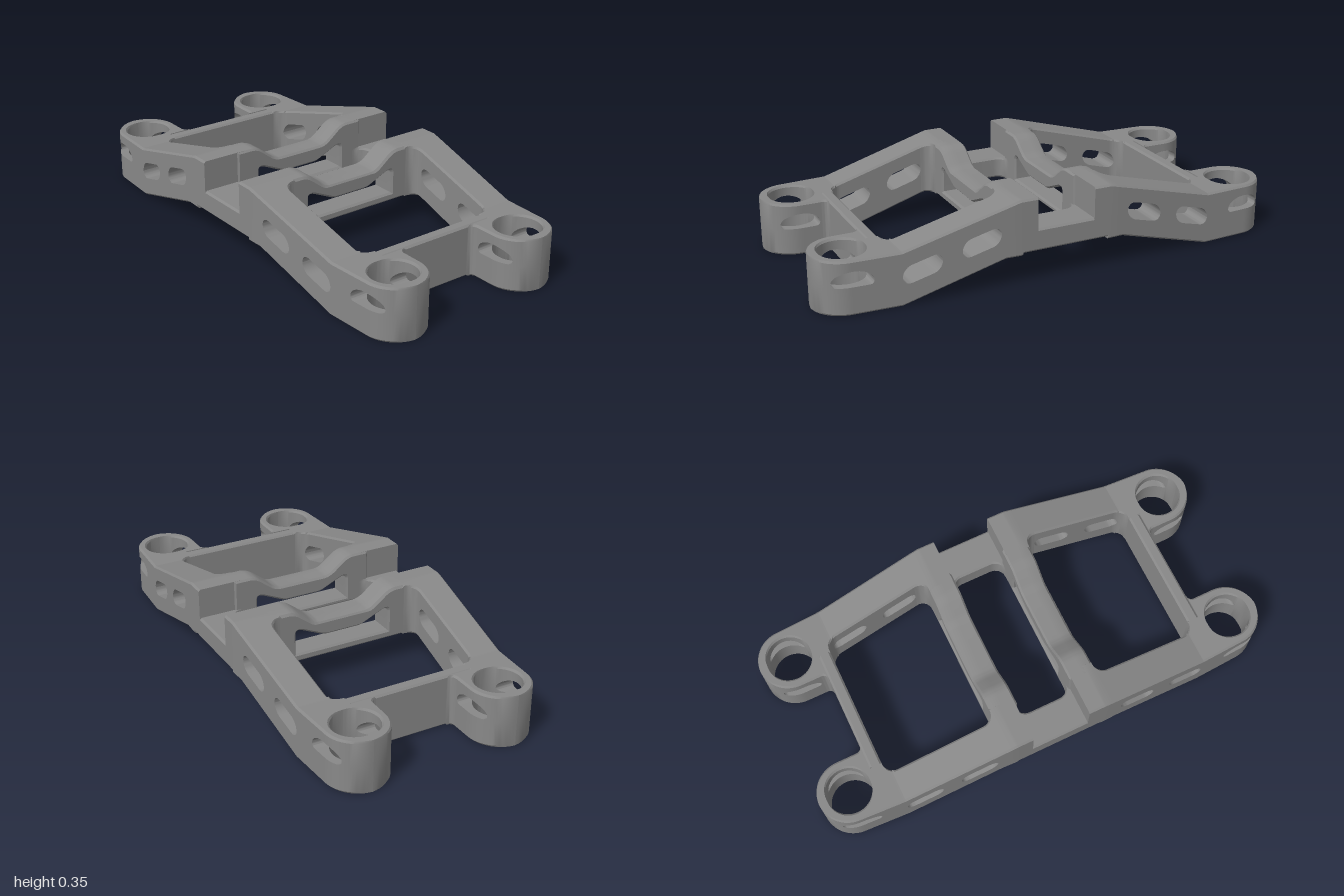
import * as THREE from 'three';
import { toCreasedNormals } from 'three/addons/utils/BufferGeometryUtils.js';

const mat = new THREE.MeshStandardMaterial({ color: 0x888888 });
const CX = 0.313, CZ = 0.87, BORE = 0.095, BOSS = 0.13, CH = 0.008;
const { sqrt, max, min, abs } = Math;

const lerp = (z, z0, z1, a, b) => a + (b - a) * min(1, max(0, (z - z0) / (z1 - z0)));
const half = (r, d) => sqrt(max(0, r * r - d * d));
const fillet = (d, r) => (d < r ? r - half(r, r - max(0, d)) : 0);

// Side profile: notch in the middle, ramps, low ends
const top = z => (z < 0.125 ? 0.222 : lerp(z, 0.2, 0.68, 0.352, 0.222));
const bottom = z => (z < 0.19 ? 0.13 : lerp(z, 0.26, 0.68, 0.12, 0));

// Plan outlines of the rail and of the two halves of each boss
const bore = z => half(BORE, z - CZ);
const railOuter = z => (z > CZ ? CX + half(BOSS, z - CZ) : lerp(z, 0.21, CZ, 0.479, CX + BOSS));
const railInner = z => {
  if (z < 0.118) return 0.333 - fillet(0.118 - z, 0.05);
  if (z < 0.23) return 0.28;
  if (z < 0.705) return lerp(z, 0.23, 0.705, 0.337, 0.316) - fillet(z - 0.23, 0.05) - fillet(0.705 - z, 0.05);
  return CX + bore(z);
};
const bossInner = z => {
  if (z > CZ) return CX - half(BOSS, z - CZ);
  return z < 0.755 ? 0.26 : CX - BOSS - fillet(z - 0.755, 0.025);
};
const bossBore = z => CX - bore(z);

// Openings through the sides: two sloped slots and a half-moon through the boss
const slots = [{ z: 0.36, y: 0.205 }, { z: 0.6, y: 0.14 }];
function opening(z) {
  for (const s of slots) {
    const d = z - s.z, L = 0.08, r = 0.037;
    if (abs(d) < L) {
      const h = half(r, max(0, abs(d) - (L - r)));
      const y = s.y - 0.27 * d;
      return [y - h, y + h];
    }
  }
  const d = abs(z - CZ);
  if (d < 0.08) return [0.115 + fillet(0.08 - d, 0.016), 0.131 + 0.047 * sqrt(1 - (d / 0.08) ** 2)];
  const mid = (top(z) + bottom(z)) / 2;
  return [mid, mid];
}

// Stations along z, dense wherever an outline curves
function stations(from) {
  const e = 1e-4;
  const zs = [0, 0.1249, 0.1251, 0.1899, 0.1901, 0.2, 0.26, 0.68, 0.7549, 1];
  for (const b of [0.118, 0.23, 0.705]) zs.push(b - e, b + e);
  const arc = (c, r, n) => {
    for (let i = 0; i <= n; i++) zs.push(c + r * Math.sin(-Math.PI / 2 + (Math.PI * i) / n));
  };
  arc(CZ, BORE, 24); arc(CZ, BOSS, 32); arc(CZ, 0.08, 20);
  for (const s of slots) {
    zs.push(s.z - 0.08 - e, s.z + 0.08 + e);
    arc(s.z - 0.043, 0.037 - e, 14); arc(s.z + 0.043, 0.037 - e, 14);
  }
  for (let i = 0; i <= 8; i++) {
    const k = 0.05 * (1 - Math.cos((Math.PI / 2) * i / 8));
    zs.push(0.118 - k, 0.23 + k, 0.705 - k, 0.755 + k / 2);
  }
  return zs.filter(z => z >= from).sort((a, b) => a - b).filter((z, i, l) => !i || z - l[i - 1] > 1e-5);
}

// Sweep of cross-sections along z: a layer below and a layer above the openings
function sweep(from, xa, xb, sx, sz) {
  const section = z => {
    const a = xa(z), b = xb(z), [lo, hi] = opening(z);
    const c = min(CH, (b - a) / 2), t = top(z), o = bottom(z);
    const joined = x => (abs(x - CX) < 1e-3 ? 0 : c);
    const ca = joined(a), cb = joined(b);
    return {
      open: hi - lo > 1e-6,
      low: [[a, lo], [a, o + ca], [a + ca, o], [b - cb, o], [b, o + cb], [b, lo]],
      high: [[b, hi], [b, t - cb], [b - cb, t], [a + ca, t], [a, t - ca], [a, hi]],
    };
  };
  const pos = [], zs = stations(from);
  for (let i = 0; i + 1 < zs.length; i++) {
    const s = section(zs[i]), e = section(zs[i + 1]);
    for (const k of ['low', 'high']) {
      for (let j = 0; j < (s.open || e.open ? 6 : 5); j++) {
        const n = (j + 1) % 6;
        const P = (p, z) => [p[0] * sx, p[1], z * sz];
        const q = [P(s[k][j], zs[i]), P(s[k][n], zs[i]), P(e[k][n], zs[i + 1]), P(e[k][j], zs[i + 1])];
        const order = sx * sz > 0 ? [0, 1, 2, 0, 2, 3] : [0, 2, 1, 0, 3, 2];
        for (const v of order) pos.push(...q[v]);
      }
    }
  }
  const g = new THREE.BufferGeometry();
  g.setAttribute('position', new THREE.Float32BufferAttribute(pos, 3));
  return toCreasedNormals(g, 0.5);
}

// Plate extruded along z with small chamfers, from z0 to z1
function plate(shape, z0, z1) {
  const g = new THREE.ExtrudeGeometry(shape, {
    depth: z1 - z0 - 2 * CH, steps: 4, bevelEnabled: true, bevelSize: CH, bevelOffset: -CH,
    bevelThickness: CH, bevelSegments: 1, curveSegments: 8,
  });
  return g.translate(0, 0, z0 + CH);
}

// Bulkhead with a dipped top edge and a wide opening
function bulkheadShape() {
  const s = new THREE.Shape();
  s.moveTo(-0.32, 0.12); s.lineTo(0.32, 0.12); s.lineTo(0.32, 0.352); s.lineTo(0.25, 0.352);
  s.quadraticCurveTo(0.222, 0.352, 0.197, 0.334);
  s.lineTo(0.152, 0.299);
  s.quadraticCurveTo(0.128, 0.28, 0.1, 0.28);
  s.lineTo(-0.1, 0.28);
  s.quadraticCurveTo(-0.128, 0.28, -0.152, 0.299);
  s.lineTo(-0.197, 0.334);
  s.quadraticCurveTo(-0.222, 0.352, -0.25, 0.352);
  s.lineTo(-0.32, 0.352); s.closePath();
  const h = new THREE.Path();
  h.moveTo(-0.215, 0.155); h.lineTo(-0.215, 0.245);
  h.quadraticCurveTo(-0.215, 0.268, -0.185, 0.256);
  h.lineTo(-0.1, 0.218);
  h.quadraticCurveTo(-0.085, 0.212, -0.07, 0.212);
  h.lineTo(0.07, 0.212);
  h.quadraticCurveTo(0.085, 0.212, 0.1, 0.218);
  h.lineTo(0.185, 0.256);
  h.quadraticCurveTo(0.215, 0.268, 0.215, 0.245);
  h.lineTo(0.215, 0.155); h.closePath();
  s.holes.push(h);
  return s;
}

// Bulkhead whose upper and lower edges follow the side profile
function bulkhead() {
  const g = plate(bulkheadShape(), 0.118, 0.23);
  const p = g.attributes.position;
  for (let i = 0; i < p.count; i++) {
    const y = p.getY(i), z = p.getZ(i);
    if (y > 0.27 && z > 0.2) p.setY(i, y - 0.27 * (z - 0.2));
    if (y < 0.13 && z < 0.19) p.setY(i, y + 0.01);
  }
  return g;
}

function crossBeam() {
  const s = new THREE.Shape();
  s.moveTo(-0.31, 0); s.lineTo(0.31, 0); s.lineTo(0.31, 0.222); s.lineTo(-0.31, 0.222); s.closePath();
  return plate(s, 0.705, 0.755);
}

export function createModel() {
  const group = new THREE.Group();
  const add = (name, geometry) => {
    const m = new THREE.Mesh(geometry, mat);
    m.name = name;
    group.add(m);
  };
  for (const sz of [1, -1]) {
    const end = sz > 0 ? 'front' : 'back';
    for (const sx of [1, -1]) {
      const side = sx > 0 ? 'Left' : 'Right';
      add(`${end}${side}Rail`, sweep(0, railInner, railOuter, sx, sz));
      add(`${end}${side}BossInnerWall`, sweep(0.705, bossInner, bossBore, sx, sz));
    }
    for (const [name, g] of [['Bulkhead', bulkhead()], ['CrossBeam', crossBeam()]]) {
      if (sz < 0) g.rotateY(Math.PI);
      add(end + name, toCreasedNormals(g, 0.5));
    }
  }
  return group;
}
